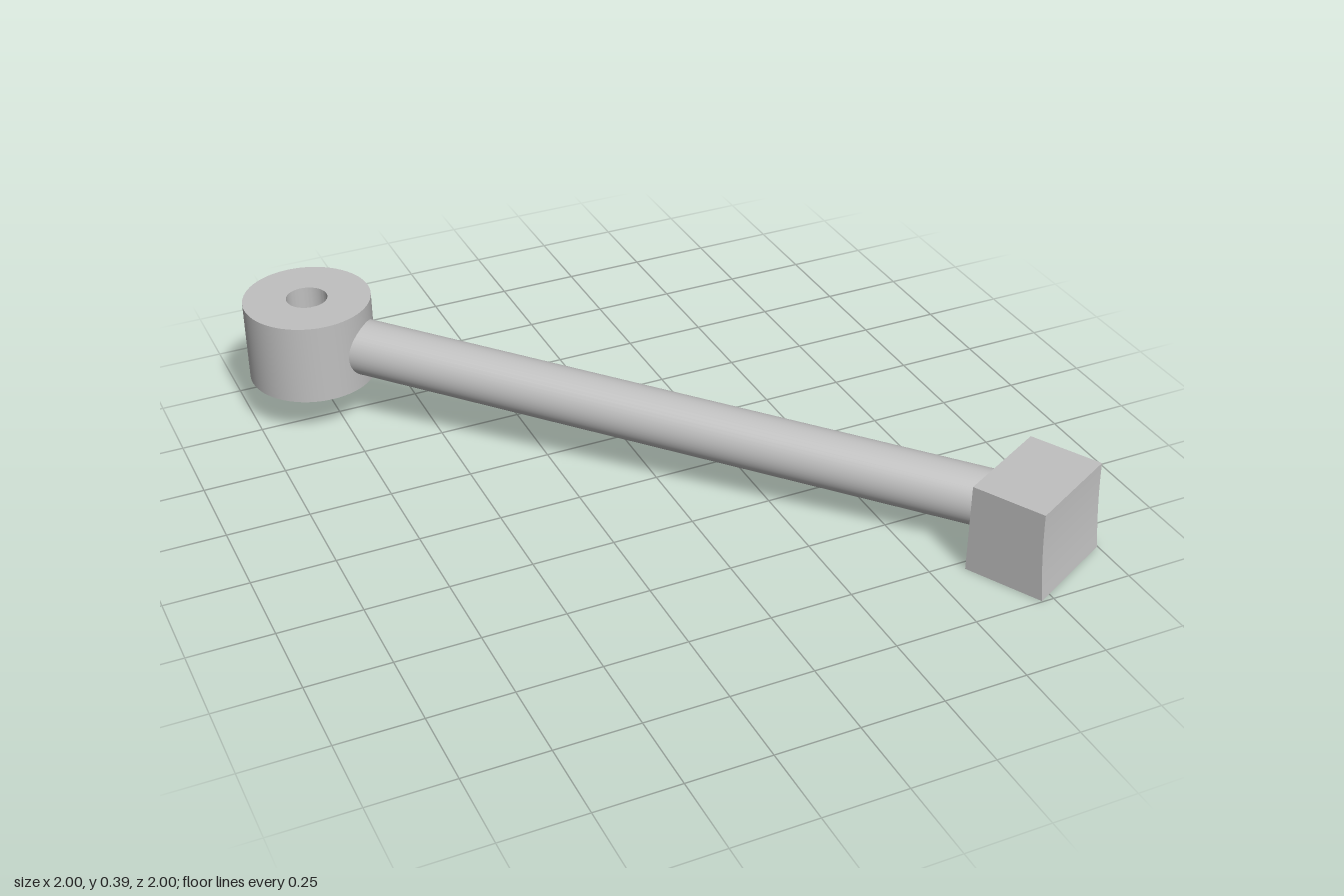
import * as THREE from 'three';
import { toCreasedNormals } from 'three/addons/utils/BufferGeometryUtils.js';

export function createModel() {
  const group = new THREE.Group();
  const grey = new THREE.MeshStandardMaterial({ color: 0xc0c0c0 });
  grey.name = 'plain grey';

  const add = (name, geometry) => {
    const mesh = new THREE.Mesh(geometry, grey);
    mesh.name = name;
    group.add(mesh);
    return mesh;
  };

  // Extrude with smooth curves and sharp edges
  const extrude = (shape, depth) => toCreasedNormals(
    new THREE.ExtrudeGeometry(shape, { depth, bevelEnabled: false, curveSegments: 32 }), 0.5);

  // Pivot ring: upright bushing with a through hole
  const ringShape = new THREE.Shape().absarc(0, 0, 0.195, 0, Math.PI * 2);
  ringShape.holes.push(new THREE.Path().absarc(0, 0, 0.063, 0, Math.PI * 2, true));
  const ring = add('pivotRing', extrude(ringShape, 0.255));
  ring.rotation.x = -Math.PI / 2;
  ring.position.set(-0.805, 0.14, -0.805);

  // Rod: from the ring's axis down into the block
  const start = new THREE.Vector3(-0.805, 0.269, -0.805);
  const end = new THREE.Vector3(0.79, 0.142, 0.752);
  const along = end.clone().sub(start);
  const rod = add('rod', new THREE.CylinderGeometry(0.086, 0.086, along.length(), 48));
  rod.position.copy(start).add(end).multiplyScalar(0.5);
  rod.quaternion.setFromUnitVectors(new THREE.Vector3(0, 1, 0), along.normalize());

  // End block: side profile with a slightly hollow outer face
  const width = 0.322;
  const profile = new THREE.Shape();
  profile.moveTo(0, 0);
  profile.lineTo(0.245, 0);
  profile.quadraticCurveTo(0.227, 0.14, 0.226, 0.28);
  profile.lineTo(0, 0.28);
  profile.closePath();
  const block = add('endBlock', extrude(profile, width).translate(0, 0, -width / 2));
  block.rotation.y = -1.086;
  block.position.set(0.742, 0, 0.705);

  return group;
}
